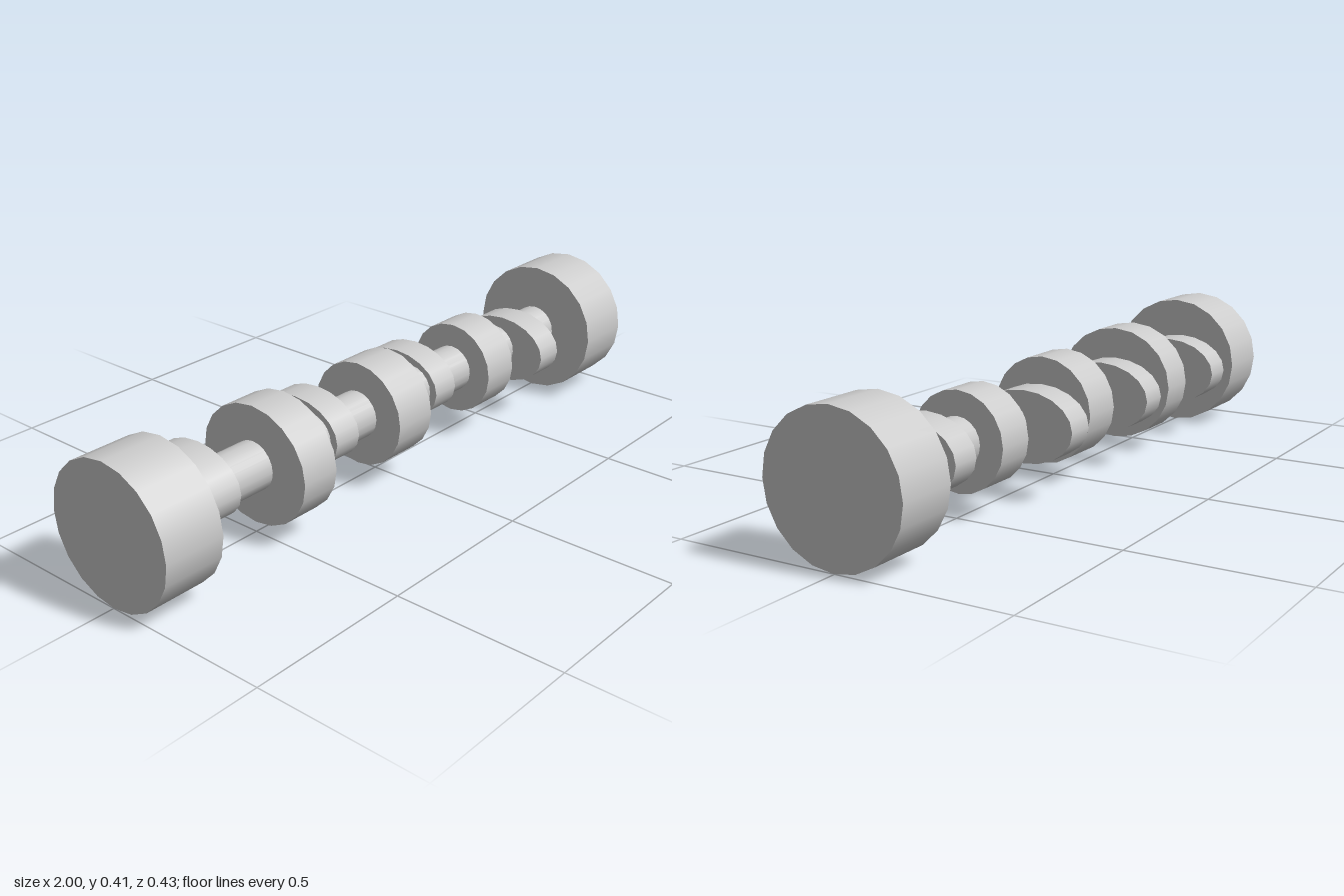
import * as THREE from 'three';

const AXIS_Y = 0.206;
const SIDES = 20;

export function createModel() {
  const group = new THREE.Group();
  const material = new THREE.MeshStandardMaterial({ color: 0xcccccc });

  // Disc lying along x from x0 to x1, with its own half height, half depth and z offset
  function addDisc(name, x0, x1, ry, rz, z = 0.002) {
    const geometry = new THREE.CylinderGeometry(1, 1, x1 - x0, SIDES);
    geometry.rotateZ(Math.PI / 2);
    geometry.scale(1, ry, rz);
    const mesh = new THREE.Mesh(geometry, material);
    mesh.name = name;
    mesh.position.set((x0 + x1) / 2, AXIS_Y, z);
    group.add(mesh);
  }

  // Central shaft
  addDisc('shaft', -0.9, 0.9, 0.071, 0.071);

  // Large end discs
  addDisc('rightEndDisc', -1, -0.816, 0.2055, 0.21, 0.003);
  addDisc('leftEndDisc', 0.814, 1, 0.2055, 0.21, 0.003);

  // Bearing journals, shrinking towards the left
  addDisc('rightJournal', -0.502, -0.38, 0.174, 0.188);
  addDisc('middleJournal', -0.08, 0.06, 0.1575, 0.159);
  addDisc('leftJournal', 0.363, 0.487, 0.1415, 0.1425);

  // Oval cam lobes, offset from the shaft axis: [x centre, z offset]
  const lobes = [[-0.687, -0.058], [-0.228, -0.058], [0.212, -0.058], [0.637, 0.026]];
  lobes.forEach(([x, z], i) => {
    addDisc(`camLobe${i + 1}`, x - 0.0455, x + 0.0455, 0.104, 0.155, z);
  });

  return group;
}
